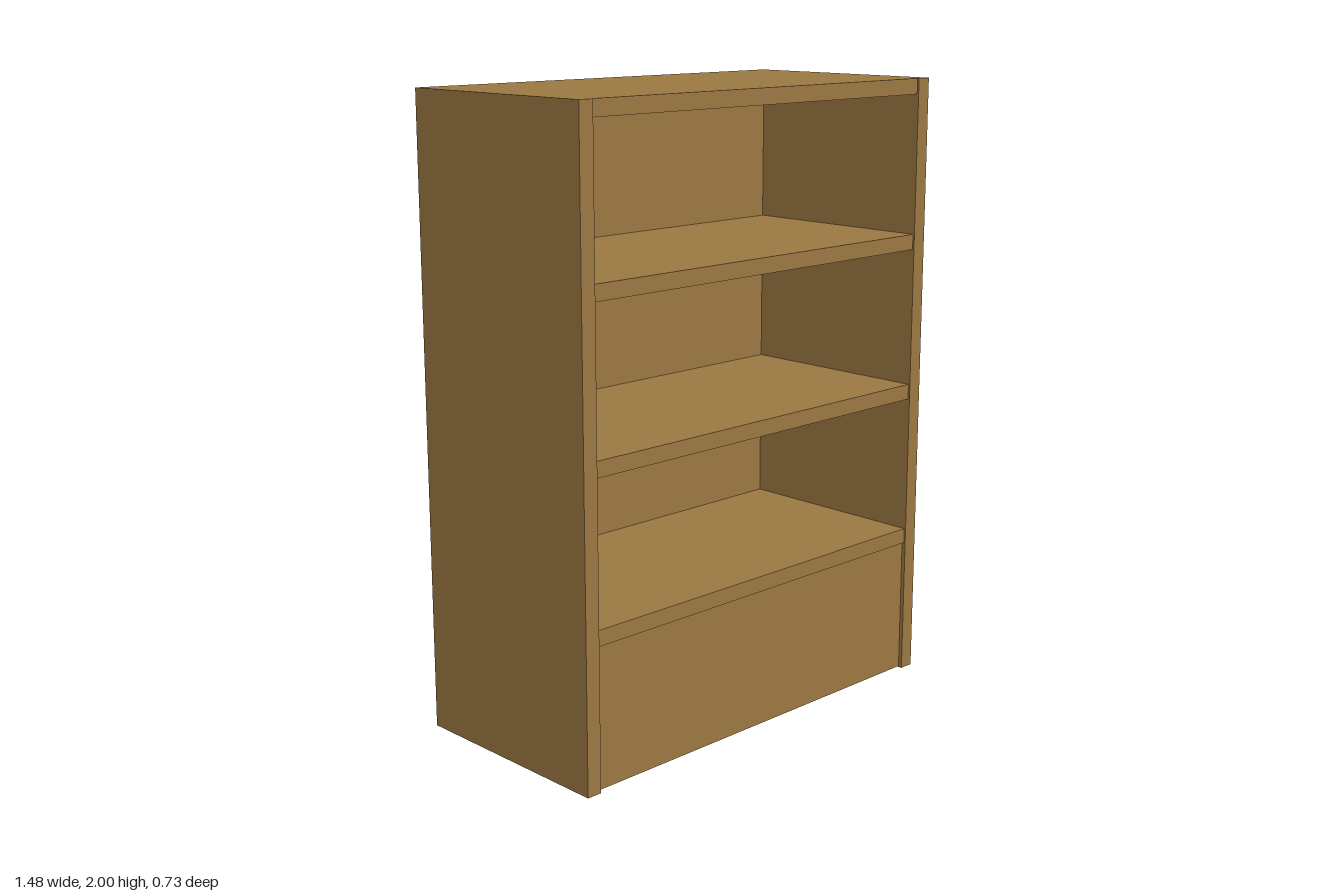
import * as THREE from 'three';

export function createModel() {
  const model = new THREE.Group();
  model.name = 'bookcase';
  const wood = new THREE.MeshStandardMaterial({ color: 0x9c7943 });
  wood.name = 'brown wood';

  // Box given by its lower and upper limits on each axis
  const board = (name, [x0, x1], [y0, y1], [z0, z1]) => {
    const mesh = new THREE.Mesh(new THREE.BoxGeometry(x1 - x0, y1 - y0, z1 - z0), wood);
    mesh.name = name;
    mesh.position.set((x0 + x1) / 2, (y0 + y1) / 2, (z0 + z1) / 2);
    model.add(mesh);
  };

  const W = 0.742, D = 0.363, T = 0.05;
  const inner = [-W + T, W - T];
  const back = -D + T;

  // Upright sides
  board('rightSide', [-W, -W + T], [0, 2], [-D, D]);
  board('leftSide', [W - T, W], [0, 2], [-D, D]);

  // Back panel between the sides
  board('backPanel', inner, [0, 2], [-D, back]);

  // Top board and three shelves, set slightly behind the side edges
  [2, 1.5, 1, 0.5].forEach((y, i) =>
    board(i ? 'shelf' + i : 'topBoard', inner, [y - T, y], [back, D - 0.006]));

  // Closed base, a little behind the shelf edges
  board('base', inner, [0.003, 0.5 - T], [back, D - 0.013]);

  return model;
}
